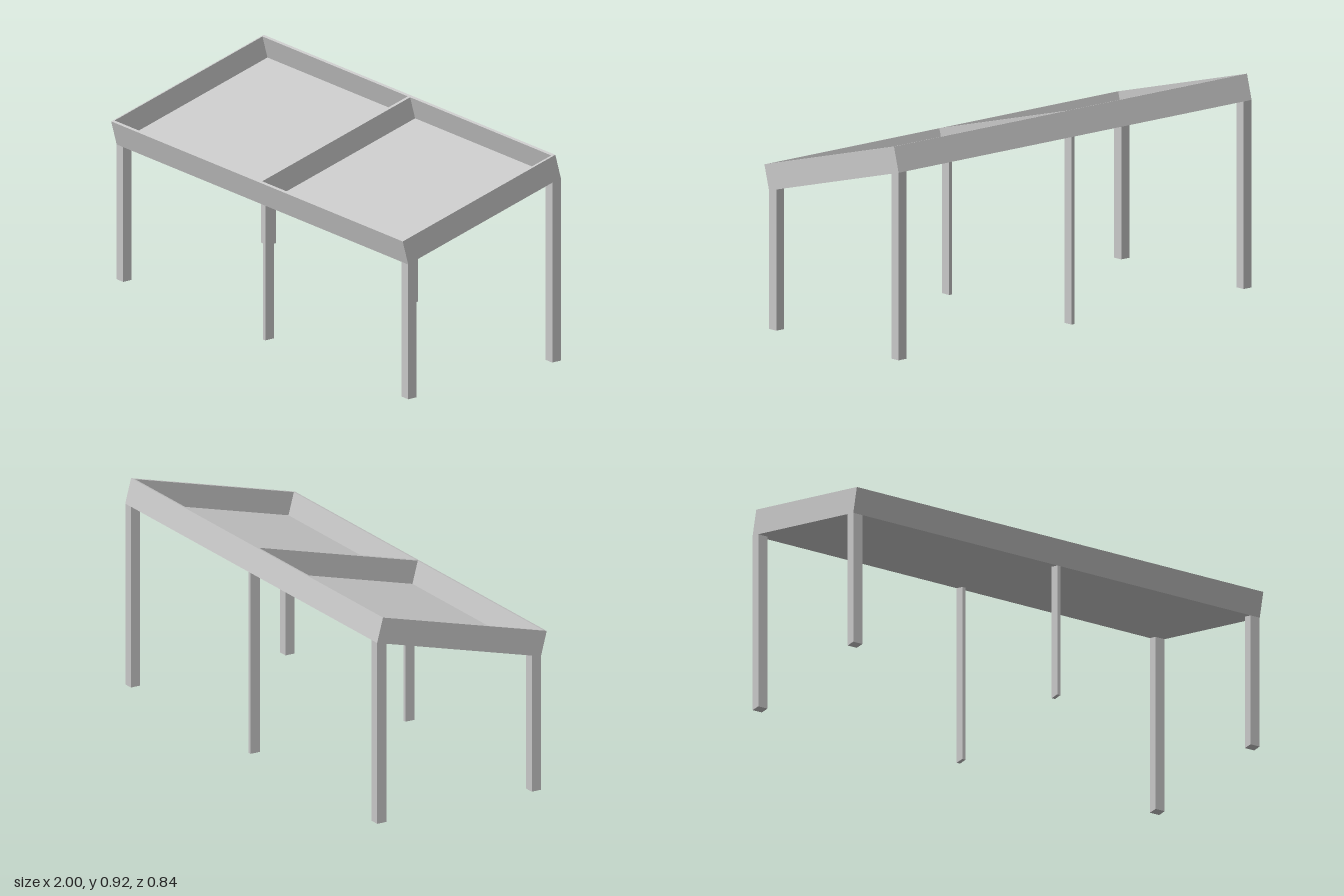
import * as THREE from 'three';

export function createModel() {
  const model = new THREE.Group();
  model.name = 'slopedTrayTable';
  const grey = new THREE.MeshStandardMaterial({ color: 0xc8c8c8 });
  grey.name = 'plainGrey';

  const tilt = Math.PI / 12; // 15 degree slope down to the front
  const depth = 0.839, height = 0.112, wall = 0.013, floor = 0.01;
  const left = -0.993, right = 0.988, half = depth / 2; // inner side faces

  // Sloping open tray, built flat and then tilted about its underside
  const tray = new THREE.Group();
  tray.name = 'tray';
  tray.position.set(0, 0.7055, -0.015);
  tray.rotation.x = tilt;
  model.add(tray);

  const panel = (name, x0, x1, y0, y1, z0, z1) => {
    const mesh = new THREE.Mesh(new THREE.BoxGeometry(x1 - x0, y1 - y0, z1 - z0), grey);
    mesh.position.set((x0 + x1) / 2, (y0 + y1) / 2, (z0 + z1) / 2);
    mesh.name = name;
    tray.add(mesh);
  };
  panel('rightWall', -1, left, 0, height, -half, half);
  panel('leftWall', right, 1, 0, height, -half, half);
  panel('frontWall', left, right, 0, height, half - wall, half);
  panel('backWall', left, right, 0, height, -half, -half + wall);
  panel('trayFloor', left, right, 0, floor, -half + wall, half - wall);
  panel('divider', 0.004, 0.02, floor, height, -half + wall, half - wall);

  // Legs: side outline with the top cut to the slope, extruded across x
  const underside = (z) => 0.597 + (0.39 - z) * Math.tan(tilt);
  const leg = (name, x0, x1, z0, z1, foot) => {
    const outline = new THREE.Shape([
      new THREE.Vector2(-z1, foot), new THREE.Vector2(-z0, foot),
      new THREE.Vector2(-z0, underside(z0)), new THREE.Vector2(-z1, underside(z1)),
    ]);
    const geometry = new THREE.ExtrudeGeometry(outline, { depth: x1 - x0, bevelEnabled: false });
    geometry.rotateY(Math.PI / 2);
    const mesh = new THREE.Mesh(geometry, grey);
    mesh.position.x = x0;
    mesh.name = name;
    model.add(mesh);
  };
  for (const [side, x0, x1] of [['Right', -1, -0.955], ['Middle', 0.004, 0.02], ['Left', 0.955, 1]]) {
    leg('front' + side + 'Leg', x0, x1, 0.345, 0.39, 0);
    leg('back' + side + 'Leg', x0, x1, -0.42, -0.375, 0.005);
  }
  return model;
}
